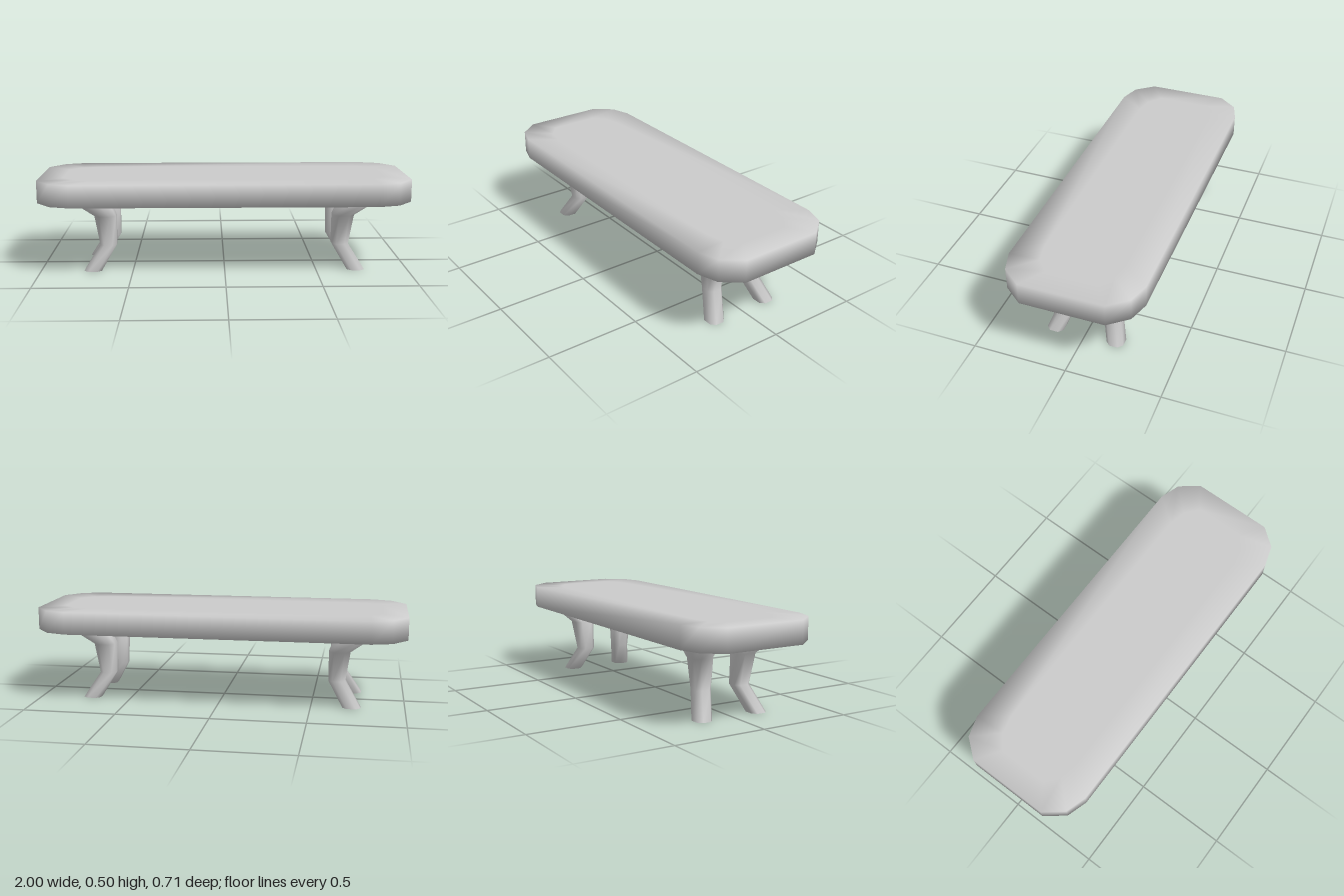
import * as THREE from 'three';

const material = new THREE.MeshStandardMaterial({ color: 0xcccccc });

// Smooth closed skin through stacked rings (bottom to top, counterclockwise from above)
function loft(name, rings) {
  const n = rings[0].length, index = [];
  const points = rings.flat();
  const capCentre = (ring) => {
    const c = new THREE.Vector3();
    ring.forEach((p) => c.addScaledVector(p, 1 / n));
    return points.push(c) - 1;
  };
  const bottom = capCentre(rings[0]);
  const top = capCentre(rings[rings.length - 1]);
  const last = (rings.length - 1) * n;
  for (let j = 0; j < n; j++) {
    const k = (j + 1) % n;
    for (let i = 0; i < last; i += n) {
      index.push(i + j, i + k, i + n + k, i + j, i + n + k, i + n + j);
    }
    index.push(bottom, k, j, top, last + j, last + k);
  }
  const geometry = new THREE.BufferGeometry().setFromPoints(points);
  geometry.setIndex(index);
  geometry.computeVertexNormals();
  const mesh = new THREE.Mesh(geometry, material);
  mesh.name = name;
  return mesh;
}

// Rectangle with cut corners, built from one quadrant mirrored to the other three
function ring(quadrant, y, cx = 0, cz = 0) {
  const back = [...quadrant].reverse();
  return [
    ...quadrant.map(([x, z]) => [x, -z]),
    ...back.map(([x, z]) => [-x, -z]),
    ...quadrant.map(([x, z]) => [-x, z]),
    ...back.map(([x, z]) => [x, z]),
  ].map(([x, z]) => new THREE.Vector3(cx + x, y, cz + z));
}

// Table top with an inset flat centre above and below
function tableTop() {
  const outline = [[1, 0.22], [0.92, 0.32], [0.81, 0.355]];
  const inset = outline.map(([x, z]) => [x * 0.87, z * 0.6]);
  return loft('tableTop', [
    ring(inset, 0.385), ring(outline, 0.385),
    ring(outline, 0.505), ring(inset, 0.505),
  ]);
}

// Bent leg: [y, xMin, xMax, zMin, zMax] sections from foot to flared shoulder
const legSections = [
  [0, 0.67, 0.765, 0.12, 0.21],
  [0.135, 0.59, 0.68, 0.072, 0.163],
  [0.3, 0.59, 0.705, 0.072, 0.19],
  [0.387, 0.625, 0.81, 0.085, 0.27],
];

function leg(name, sx, sz) {
  return loft(name, legSections.map(([y, x0, x1, z0, z1]) => {
    const hx = (x1 - x0) / 2, hz = (z1 - z0) / 2;
    const quadrant = [[hx, hz * 0.5], [hx * 0.5, hz]];
    return ring(quadrant, y, sx * (x0 + x1) / 2, sz * (z0 + z1) / 2);
  }));
}

export function createModel() {
  const table = new THREE.Group();
  table.name = 'lowTable';
  table.add(tableTop());
  for (const [sx, side] of [[1, 'Left'], [-1, 'Right']]) {
    for (const [sz, end] of [[1, 'front'], [-1, 'back']]) {
      table.add(leg(`${end}${side}Leg`, sx, sz));
    }
  }
  return table;
}
